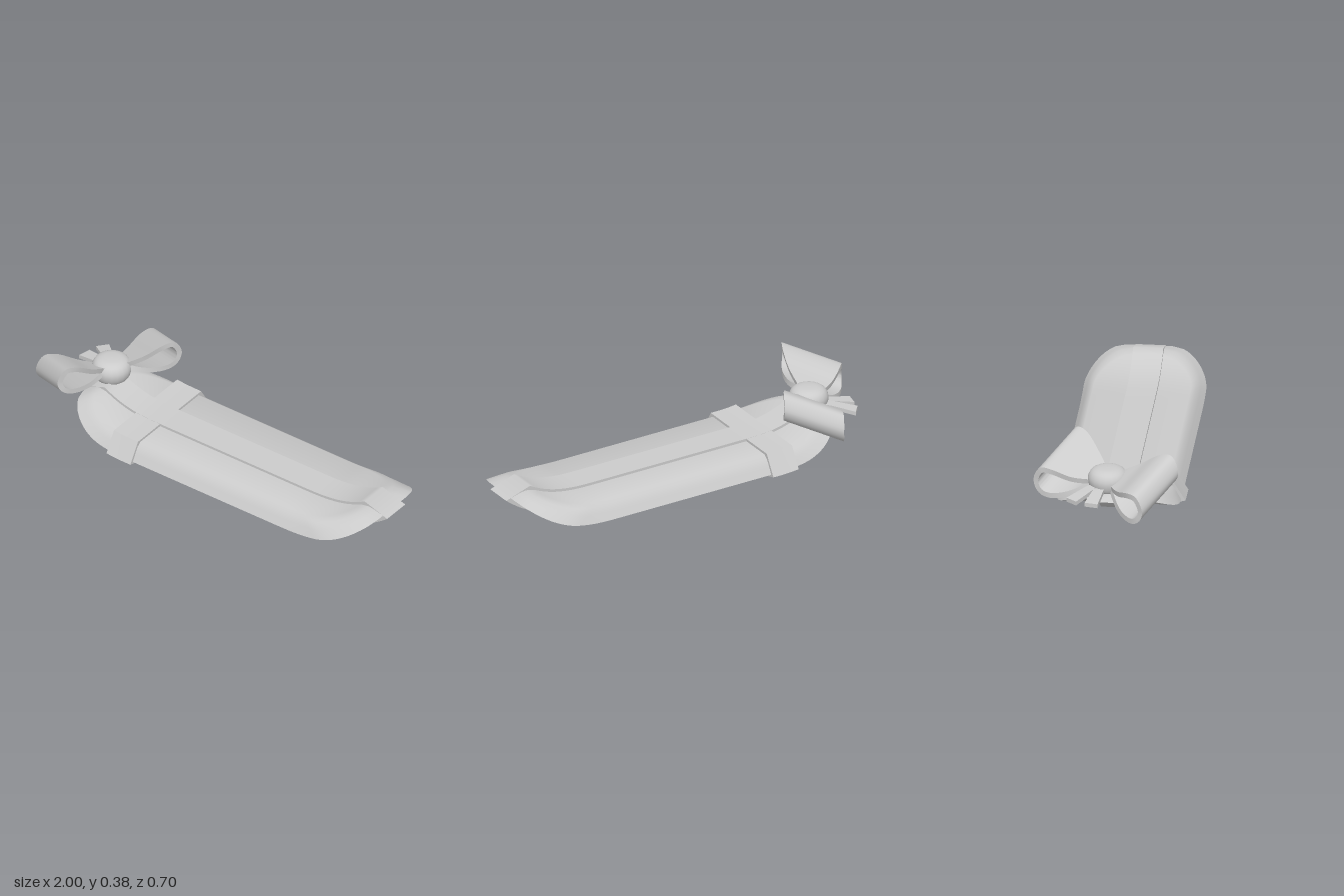
import * as THREE from 'three';
import { toCreasedNormals } from 'three/addons/utils/BufferGeometryUtils.js';

const material = new THREE.MeshStandardMaterial({ color: 0xcccccc });
const V = (x, y, z) => new THREE.Vector3(x, y, z);
const MID_Z = 0.04;

// Upward curl of the board at both ends.
function lift(x) {
  if (x > 0.5) return 0.145 * ((x - 0.5) / 0.495) ** 2.8;
  if (x < -0.36) return 0.14 * ((-x - 0.36) / 0.43) ** 2.4;
  return 0;
}

// Height h above the curled underside, thickened where the board slopes.
function raise(x, h) {
  const slope = (lift(x + 0.005) - lift(x - 0.005)) / 0.01;
  return lift(x) + h * Math.hypot(1, slope);
}

// Skin closed rings of points; either join the last to the first or cap both ends.
function loft(rings, joined, crease) {
  const m = rings.length, n = rings[0].length, index = [];
  for (let i = 0; i < (joined ? m : m - 1); i++) {
    for (let j = 0; j < n; j++) {
      const k = (j + 1) % n, a = i * n, b = ((i + 1) % m) * n;
      index.push(a + j, a + k, b + k, a + j, b + k, b + j);
    }
  }
  if (!joined) {
    const e = (m - 1) * n;
    for (let j = 0; j < n / 2 - 1; j++) {
      const q = [j, j + 1, n - 2 - j, n - 1 - j];
      index.push(e + q[0], e + q[1], e + q[2], e + q[0], e + q[2], e + q[3]);
      index.push(q[0], q[2], q[1], q[0], q[3], q[2]);
    }
  }
  // Turn the faces outward if the enclosed volume is negative.
  const p = rings.flat();
  let volume = 0;
  for (let t = 0; t < index.length; t += 3) {
    volume += p[index[t]].dot(p[index[t + 1]].clone().cross(p[index[t + 2]]));
  }
  if (volume < 0) index.reverse();
  const g = new THREE.BufferGeometry().setFromPoints(p);
  g.setIndex(index);
  return toCreasedNormals(g, crease);
}

function add(group, name, geometry) {
  const mesh = new THREE.Mesh(geometry, material);
  mesh.name = name;
  group.add(mesh);
  return mesh;
}

// Long bar with rounded corners, sloping sides and raised ends.
function bodyGeometry() {
  const layers = [[0, 0.022], [0.03, 0.06], [0.055, 0.088], [0.085, 0.104]]; // inset, height
  const rings = [], steps = 64;
  for (let i = 0; i <= steps; i++) {
    const t = i / steps;
    const u = 0.35 * t + 0.65 * (0.5 - 0.5 * Math.cos(Math.PI * t));
    const side = (s) => layers.map(([inset, y]) => {
      const x0 = -0.76 + inset * 1.25, x1 = 0.972 - inset * 1.5;
      const x = THREE.MathUtils.lerp(x0, x1, u);
      const r = 0.24, d = Math.max(0, r - Math.min(x - x0, x1 - x)) / r;
      const w = 0.11 + 0.18 * Math.sqrt(Math.max(0, 1 - d * d)) - inset * 0.7;
      return V(x, raise(x, y), MID_Z + s * w);
    });
    rings.push([...side(-1), ...side(1).reverse()]);
  }
  return loft(rings, false, 0.9);
}

// Ribbon running lengthwise around the bar, slanted at its ends.
function longRibbonGeometry() {
  const rings = [], steps = 48;
  for (let i = 0; i <= steps; i++) {
    const u = i / steps;
    const xb = THREE.MathUtils.lerp(-0.79, 0.997, u), xt = THREE.MathUtils.lerp(-0.66, 0.865, u);
    const yb = lift(xb), yt = raise(xt, 0.117);
    rings.push([V(xb, yb, -0.028), V(xt, yt, -0.028), V(xt, yt, 0.115), V(xb, yb, 0.115)]);
  }
  return loft(rings, false, 0.9);
}

// Ribbon wrapped across the bar.
function crossRibbonGeometry() {
  const half = [[0.25, 0], [0.31, 0.017], [0.25, 0.116]];
  const rings = [-0.475, -0.43, -0.38, -0.335].map((x) => {
    const side = (s) => half.map(([w, y]) => V(x, raise(x, y), MID_Z + s * w));
    return [...side(-1), ...side(1).reverse()];
  });
  return loft(rings, false, 0.4);
}

// Teardrop loop of the bow, widening away from the knot.
const KNOT = V(-0.7, 0.225, 0.005);
const SPAN = V(0.24, 0.11, 0.15);
function loopGeometry(out) {
  const length = out.length();
  const profile = [[0.12, 0.005], [0.42, 0.045], [0.7, 0.086], [0.88, 0.086], [1, 0.02],
    [0.95, -0.03], [0.8, -0.058], [0.38, -0.047]];
  const curve = new THREE.CatmullRomCurve3(profile.map(([f, h]) => V(f * length, h, 0)), true, 'centripetal');
  const rings = [], steps = 40, thickness = 0.026;
  for (let i = 0; i < steps; i++) {
    const p = curve.getPoint(i / steps), t = curve.getTangent(i / steps);
    const q = V(p.x + t.y * thickness, p.y - t.x * thickness, 0);
    const w = 0.5 * (0.12 + 0.88 * Math.sin(Math.min(1.75, 1.75 * p.x / length)));
    const at = (c, s) => KNOT.clone().addScaledVector(out, c.x / length)
      .addScaledVector(SPAN, s * w).add(V(0, c.y, 0));
    rings.push([at(p, -1), at(p, 1), at(q, 1), at(q, -1)]);
  }
  return loft(rings, true, 0.7);
}

// Plump knot with steep sides and a domed top.
function knotGeometry() {
  const profile = [[0, -0.055], [0.07, -0.05], [0.088, -0.03], [0.095, 0], [0.09, 0.025],
    [0.075, 0.045], [0.045, 0.057], [0, 0.06]];
  const curve = new THREE.SplineCurve(profile.map(([x, y]) => new THREE.Vector2(x, y)));
  return new THREE.LatheGeometry(curve.getPoints(16).map((p) => p.setX(Math.max(0, p.x))), 20);
}

// Short flat ribbon end reaching out from under the knot.
function tailGeometry(end) {
  const start = V(-0.7, 0.205, -0.01);
  const dir = end.clone().sub(start);
  const across = V(-dir.z, 0, dir.x).normalize();
  const rings = [0, 0.5, 1].map((u) => {
    const c = start.clone().addScaledVector(dir, u);
    c.y += 0.02 * u * (1 - u);
    const w = 0.018 + 0.014 * u;
    return [[-w, -0.01], [-w, 0.01], [w, 0.01], [w, -0.01]]
      .map(([s, y]) => c.clone().addScaledVector(across, s).add(V(0, y, 0)));
  });
  return loft(rings, false, 0.5);
}

export function createModel() {
  const model = new THREE.Group();
  model.name = 'ribbonWrappedBar';
  add(model, 'body', bodyGeometry());
  add(model, 'longRibbon', longRibbonGeometry());
  add(model, 'crossRibbon', crossRibbonGeometry());

  const bow = new THREE.Group();
  bow.name = 'bow';
  add(bow, 'knot', knotGeometry()).position.copy(KNOT);
  add(bow, 'backLoop', loopGeometry(V(0.14, 0.01, -0.28)));
  add(bow, 'frontLoop', loopGeometry(V(-0.185, 0.005, 0.265)));
  add(bow, 'backTail', tailGeometry(V(-0.87, 0.175, -0.152)));
  add(bow, 'frontTail', tailGeometry(V(-0.905, 0.175, -0.055)));
  model.add(bow);
  return model;
}
